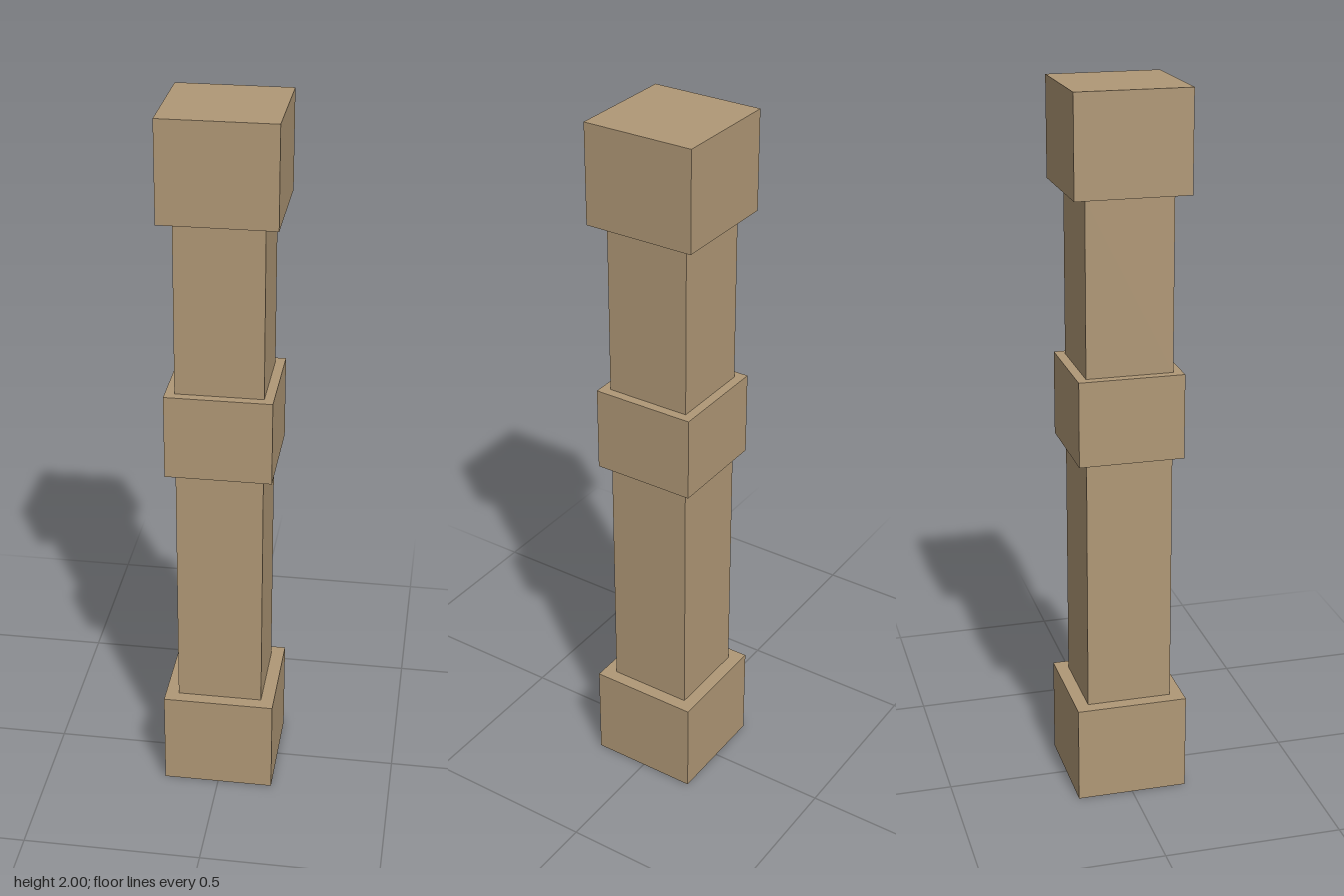
import * as THREE from 'three';

// Square shell swept from a [halfWidth, y] profile, listed from bottom to top
function squareShell(name, profile, material) {
  const points = profile.map(([half, y]) => new THREE.Vector2(half * Math.SQRT2, y));
  const geometry = new THREE.LatheGeometry(points, 4, Math.PI / 4).toNonIndexed();
  geometry.computeVertexNormals();
  const mesh = new THREE.Mesh(geometry, material);
  mesh.name = name;
  return mesh;
}

export function createModel() {
  const wood = new THREE.MeshStandardMaterial({ color: 0xb09876, side: THREE.DoubleSide });
  wood.name = 'tan wood';

  const END = 0.157, SHAFT = 0.12, BAND = 0.146; // half widths
  const group = new THREE.Group();
  group.name = 'post';

  group.add(
    // Hollow base, open underneath, with a ledge around the shaft
    squareShell('base', [[END, 0], [END, 0.277], [SHAFT, 0.277]], wood),
    squareShell('lowerShaft', [[SHAFT, 0.277], [SHAFT, 1.003]], wood),
    // Middle band with ledges above and below
    squareShell('band', [[SHAFT, 1.003], [BAND, 1.003], [BAND, 1.241], [SHAFT, 1.241]], wood),
    squareShell('upperShaft', [[SHAFT, 1.241], [SHAFT, 1.725]], wood),
    // Closed top block
    squareShell('cap', [[SHAFT, 1.725], [END, 1.725], [END, 2], [0, 2]], wood),
  );
  return group;
}
